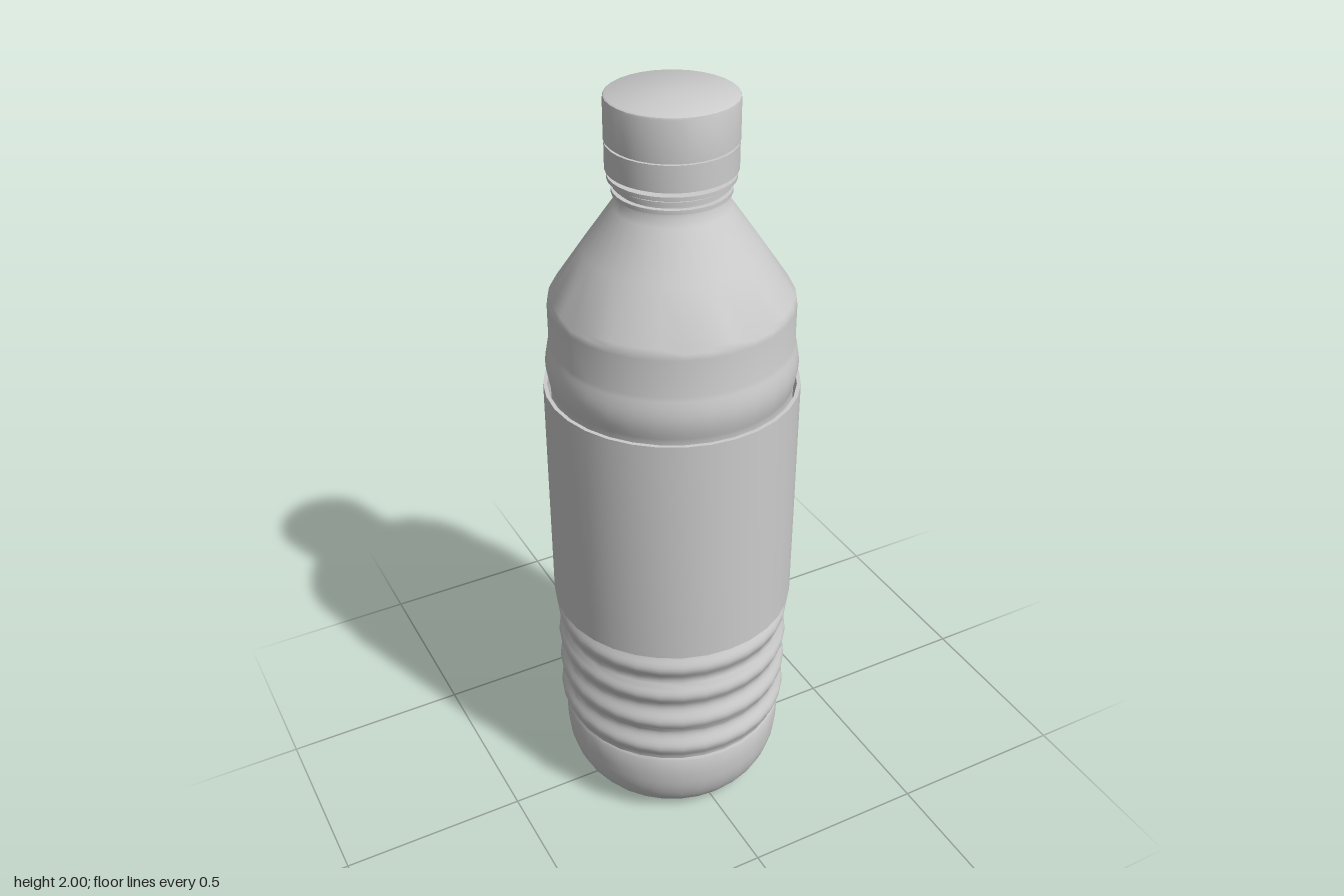
import * as THREE from 'three';
import { toCreasedNormals } from 'three/addons/utils/BufferGeometryUtils.js';

const SIDES = 32;
const material = new THREE.MeshStandardMaterial({ color: 0xcccccc, side: THREE.DoubleSide });

// Spins a list of [radius, height] points; edges sharper than the crease stay hard.
function turned(name, points, crease = 0.6) {
  const profile = points.map(([r, y]) => new THREE.Vector2(r, y));
  const geometry = toCreasedNormals(new THREE.LatheGeometry(profile, SIDES), crease);
  const mesh = new THREE.Mesh(geometry, material);
  mesh.name = name;
  return mesh;
}

// Closed ring of rectangular section
function ring(name, inner, outer, bottom, top) {
  return turned(name, [[inner, bottom], [outer, bottom], [outer, top], [inner, top], [inner, bottom]]);
}

function bodyProfile() {
  const points = [[0, 0.012], [0.12, 0.008], [0.19, 0]];
  // rounded foot
  for (let i = 1; i <= 10; i++) {
    const a = (i / 10) * Math.PI / 2;
    points.push([0.19 + 0.113 * Math.sin(a), 0.17 * (1 - Math.cos(a))]);
  }
  points.push([0.304, 0.23]);
  // four grip ribs
  const ribs = 4, pitch = 0.094, start = 0.237, steps = 10;
  for (let i = 0; i <= ribs * steps; i++) {
    const wave = Math.pow(Math.sin((i / steps) * Math.PI), 2);
    points.push([0.3 + 0.016 * wave, start + (i / steps) * pitch]);
  }
  // wall behind the label, then one rib above it
  points.push([0.303, 0.64], [0.303, 1.25]);
  for (let i = 0; i <= 10; i++) {
    points.push([0.303 + 0.011 * Math.sin((i / 10) * Math.PI), 1.265 + 0.0125 * i]);
  }
  // shoulder cone and neck
  points.push([0.303, 1.485], [0.301, 1.5], [0.296, 1.51], [0.215, 1.63], [0.142, 1.735],
    [0.131, 1.755], [0.13, 1.77], [0.13, 1.86]);
  return points;
}

export function createModel() {
  const bottle = new THREE.Group();
  bottle.name = 'bottle';

  bottle.add(turned('body', bodyProfile()));
  bottle.add(ring('label', 0.312, 0.322, 0.617, 1.265));

  // neck collars
  bottle.add(ring('neckCollar', 0.125, 0.142, 1.768, 1.778));
  bottle.add(ring('neckCollar', 0.125, 0.14, 1.787, 1.797));
  bottle.add(ring('neckCollar', 0.125, 0.152, 1.804, 1.814));

  // cap with tamper band below a narrow groove
  const cap = new THREE.Group();
  cap.name = 'cap';
  cap.add(ring('tamperBand', 0.128, 0.156, 1.826, 1.89));
  cap.add(turned('capCore', [[0.149, 1.885], [0.149, 1.9]]));
  cap.add(turned('capTop', [[0.13, 1.896], [0.157, 1.896], [0.157, 1.992],
    [0.1555, 1.997], [0.151, 2], [0, 2]]));
  bottle.add(cap);

  return bottle;
}
